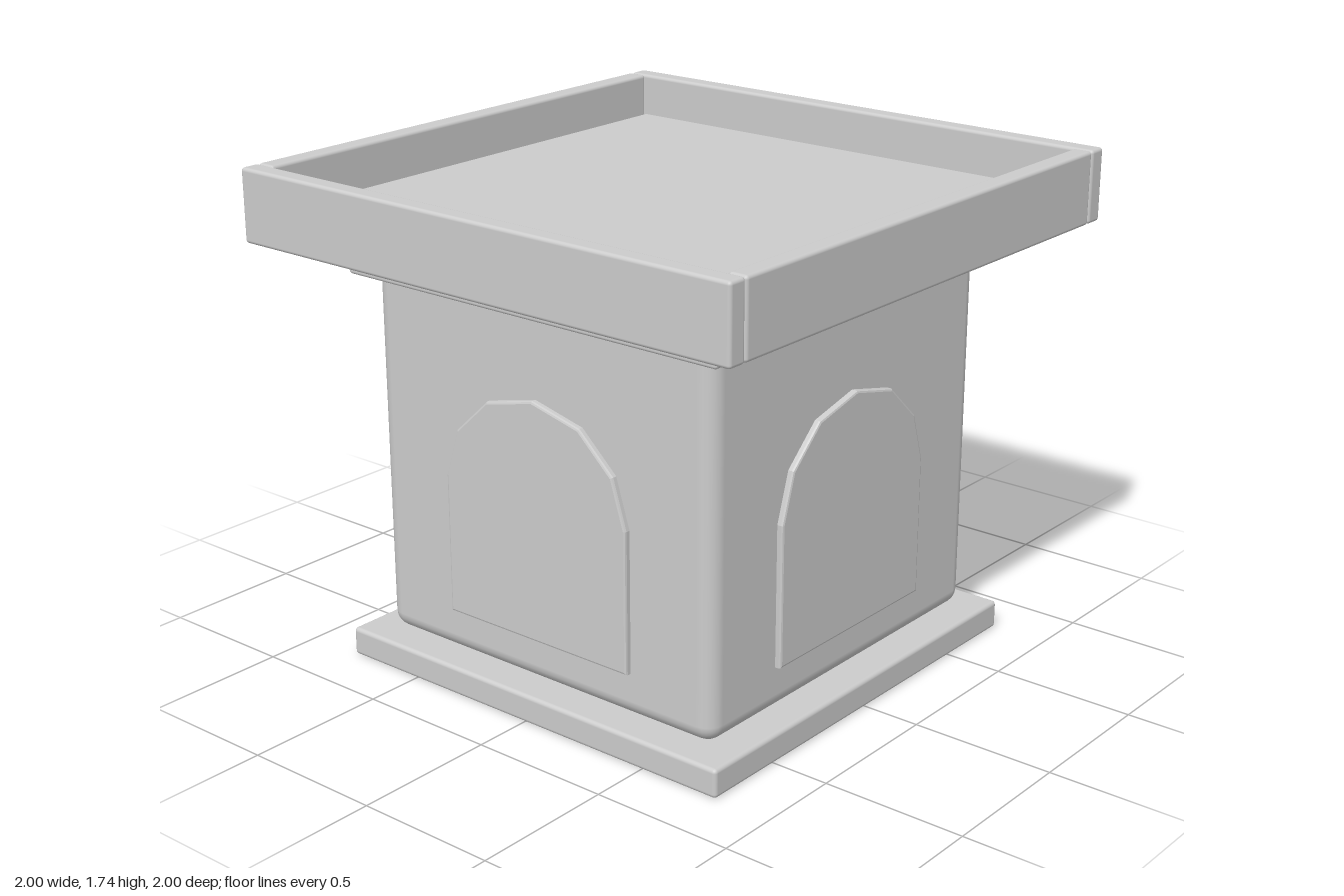
import * as THREE from 'three';
import { RoundedBoxGeometry } from 'three/addons/geometries/RoundedBoxGeometry.js';

const stone = new THREE.MeshStandardMaterial({ color: 0xcccccc });
stone.name = 'light grey stone';

// Rounded block spanning y0..y1, centred on x and z
function block(name, width, depth, y0, y1, radius, x = 0, z = 0) {
  const mesh = new THREE.Mesh(new RoundedBoxGeometry(width, y1 - y0, depth, 3, radius), stone);
  mesh.position.set(x, (y0 + y1) / 2, z);
  mesh.name = name;
  return mesh;
}

// Arched panel with a slim bevelled edge, back face at z = 0
function archGeometry() {
  const b = 0.008;
  const half = [[0.385, 0.263], [0.385, 0.753], [0.333, 0.92], [0.197, 1.047]];
  const outline = [...half, [0, 1.094], ...half.map(([x, y]) => [-x, y]).reverse()];
  const shape = new THREE.Shape(outline.map(([x, y]) => new THREE.Vector2(x, y)));
  const geometry = new THREE.ExtrudeGeometry(shape, {
    depth: 0.03, bevelEnabled: true, bevelSize: b, bevelOffset: -b, bevelThickness: b, bevelSegments: 2,
  });
  return geometry.translate(0, 0, b);
}

export function createModel() {
  const model = new THREE.Group();
  model.name = 'pedestal';

  // Plinth, body and cap
  model.add(
    block('base', 1.6, 1.6, 0, 0.1, 0.014),
    block('body', 1.42, 1.42, 0.105, 1.41, 0.06),
    block('cap', 1.536, 1.536, 1.374, 1.444, 0.01),
  );

  // Arched panel on each of the four sides
  const arch = archGeometry();
  ['frontArch', 'leftArch', 'backArch', 'rightArch'].forEach((name, i) => {
    const side = new THREE.Group();
    side.name = name;
    const panel = new THREE.Mesh(arch, stone);
    panel.name = name + 'Panel';
    panel.position.z = 0.686;
    side.add(panel);
    side.rotation.y = i * Math.PI / 2;
    model.add(side);
  });

  // Floating tray: floor plus four rim boards
  const tray = new THREE.Group();
  tray.name = 'tray';
  tray.add(block('trayFloor', 1.855, 1.855, 1.51, 1.59, 0.01));
  for (const s of [1, -1]) {
    tray.add(
      block(s > 0 ? 'frontRim' : 'backRim', 2, 0.07, 1.486, 1.738, 0.012, 0, s * 0.965),
      block(s > 0 ? 'leftRim' : 'rightRim', 0.07, 1.855, 1.486, 1.738, 0.012, s * 0.965, 0),
    );
  }
  model.add(tray);
  return model;
}
